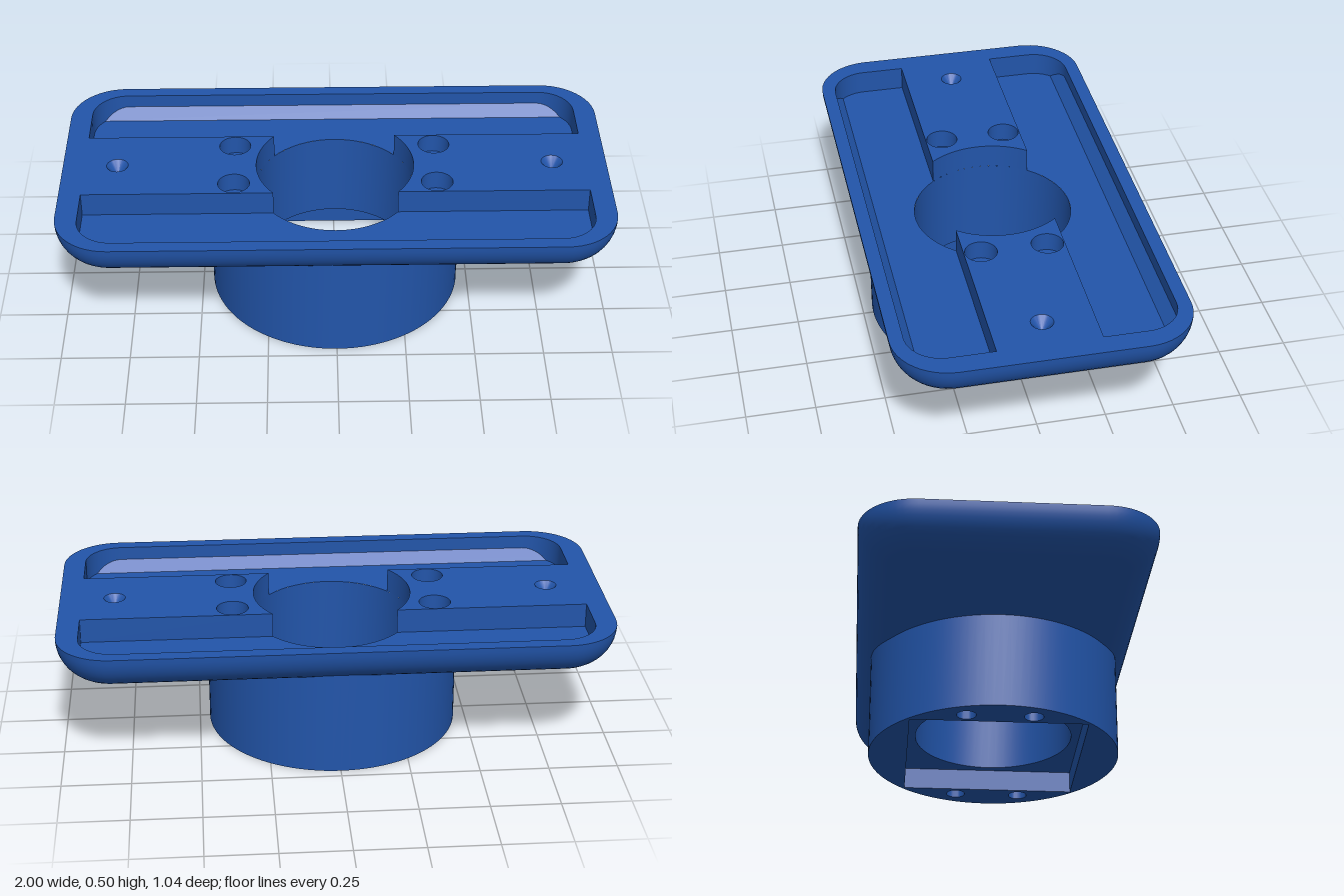
import * as THREE from 'three';
import { toCreasedNormals } from 'three/addons/utils/BufferGeometryUtils.js';

const TOP = 0.5, UNDER = 0.355, FLOOR = 0.41, RECESS = 0.08, BORE_FLOOR = 0.43;
const HX = 1, HZ = 0.52, CORNER = 0.2, EDGE = TOP - UNDER;
const BORE = 0.29, COLLAR = 0.463, PIN = 0.035, HEAD = 0.058, STRIP = 0.182;

// Plan outlines are counter-clockwise lists of points (x, -z)
const arc = (cx, cy, r, a0, a1, n) => Array.from({ length: n + 1 }, (_, i) => {
  const a = a0 + (a1 - a0) * i / n;
  return new THREE.Vector2(cx + r * Math.cos(a), cy + r * Math.sin(a));
});
const circle = (r, cx = 0, cy = 0, n = 64) => arc(cx, cy, r, 0, 2 * Math.PI, n).slice(0, -1);
const turned = pts => pts.map(p => new THREE.Vector2(-p.x, -p.y));

function roundRect(hx, hy, r) {
  const q = Math.PI / 2, x = hx - r, y = hy - r;
  return [[x, y], [-x, y], [-x, -y], [x, -y]]
    .flatMap(([cx, cy], i) => arc(cx, cy, r, i * q, (i + 1) * q, 12));
}

// Flat horizontal face with holes
function face(outline, holes, y, up = true) {
  const shape = new THREE.Shape(outline);
  shape.holes = holes.map(h => new THREE.Path(h));
  return new THREE.ShapeGeometry(shape).rotateX(up ? -Math.PI / 2 : Math.PI / 2).translate(0, y, 0);
}

// Skin through rings [points, y]: bottom to top faces out, top to bottom faces in
function loft(rings) {
  const n = rings[0][0].length, pos = [], index = [];
  for (const [pts, y] of rings) for (const p of pts) pos.push(p.x, y, -p.y);
  for (let k = 0; k < rings.length - 1; k++) {
    for (let i = 0; i < n; i++) {
      const a = k * n + i, b = k * n + (i + 1) % n;
      index.push(a, b, b + n, a, b + n, a + n);
    }
  }
  const g = new THREE.BufferGeometry();
  g.setAttribute('position', new THREE.Float32BufferAttribute(pos, 3));
  g.setIndex(index);
  return toCreasedNormals(g, 0.6);
}

export function createModel() {
  const model = new THREE.Group();
  model.name = 'mountingPlate';
  const material = new THREE.MeshStandardMaterial({ color: 0x2255aa });
  const add = (name, geometry) => {
    const mesh = new THREE.Mesh(geometry, material);
    mesh.name = name;
    model.add(mesh);
  };

  const bore = circle(BORE);
  const screws = [[1, 1], [-1, 1], [-1, -1], [1, -1]].map(([sx, sy]) => [sx * 0.37, sy * 0.12]);
  const pins = screws.map(([x, y]) => circle(PIN, x, y, 24));
  const heads = screws.map(([x, y]) => circle(HEAD, x, y, 32));
  const dimples = [-0.8, 0.8].map(x => circle(0.04, x, 0, 24));

  // Pocket outline, and the opening made by both pockets and the bore
  const a = Math.asin(STRIP / BORE), q = Math.PI / 2;
  const pocket = [
    new THREE.Vector2(0.92, STRIP),
    ...arc(0.79, 0.34, 0.13, 0, q, 12),
    ...arc(-0.79, 0.34, 0.13, q, 2 * q, 12),
    new THREE.Vector2(-0.92, STRIP),
  ];
  const half = [...arc(0, 0, BORE, -a, a, 20), ...pocket];
  const opening = [...half, ...turned(half)];

  // Plate: top, rounded edge, underside
  add('plateTop', face(roundRect(HX, HZ, CORNER), [opening, ...heads, ...dimples], TOP));
  const rings = [];
  for (let i = 12; i >= 0; i--) {
    const t = q * i / 12, d = EDGE * (1 - Math.cos(t));
    rings.push([roundRect(HX - d, HZ - d, CORNER - d), TOP - EDGE * Math.sin(t)]);
  }
  add('plateEdge', loft(rings));
  add('plateUnderside', face(rings[0][0], [bore, ...pins], UNDER, false));

  // Pockets: walls, floors and the sloped strip along each long side
  add('pocketWalls', loft([[opening, TOP], [opening, FLOOR]]));
  const floor = [...pocket, ...arc(0, 0, BORE, Math.PI - a, a, 32)];
  const slopeX = 0.79 + Math.sqrt(0.13 ** 2 - 0.09 ** 2);
  const slope = [
    new THREE.Vector2(slopeX, 0.43),
    ...pocket.filter(p => p.y > 0.431),
    new THREE.Vector2(-slopeX, 0.43),
  ];
  for (const turn of [p => p, turned]) {
    add('pocketFloor', face(turn(floor), [], FLOOR));
    const g = face(turn(slope), [], FLOOR), pos = g.attributes.position;
    for (let i = 0; i < pos.count; i++) pos.setY(i, FLOOR + Math.abs(pos.getZ(i)) - 0.43);
    g.computeVertexNormals();
    add('pocketSlope', g);
  }

  // Collar with a square recess in its foot
  const s = 0.32;
  const square = [[s, s], [-s, s], [-s, -s], [s, -s]].map(([x, y]) => new THREE.Vector2(x, y));
  const collar = circle(COLLAR, 0, 0, 96);
  add('collarWall', loft([[collar, 0], [collar, 0.395]]));
  add('collarFoot', face(collar, [square, ...pins], 0, false));
  add('recessWalls', loft([[square, RECESS], [square, 0]]));
  add('recessCeiling', face(square, [bore], RECESS, false));
  add('boreWall', loft([[bore, FLOOR], [bore, RECESS]]));

  // Counterbored screw holes
  screws.forEach((_, i) => {
    add('counterboreWall', loft([[heads[i], TOP], [heads[i], BORE_FLOOR]]));
    add('counterboreFloor', face(heads[i], [pins[i]], BORE_FLOOR));
    add('screwHoleWall', loft([[pins[i], BORE_FLOOR], [pins[i], 0]]));
  });

  // Conical dimples near the ends
  [-0.8, 0.8].forEach((x, i) => {
    add('dimple', loft([[dimples[i], TOP], [circle(0.001, x, 0, 24), TOP - 0.045]]));
  });

  return model;
}
